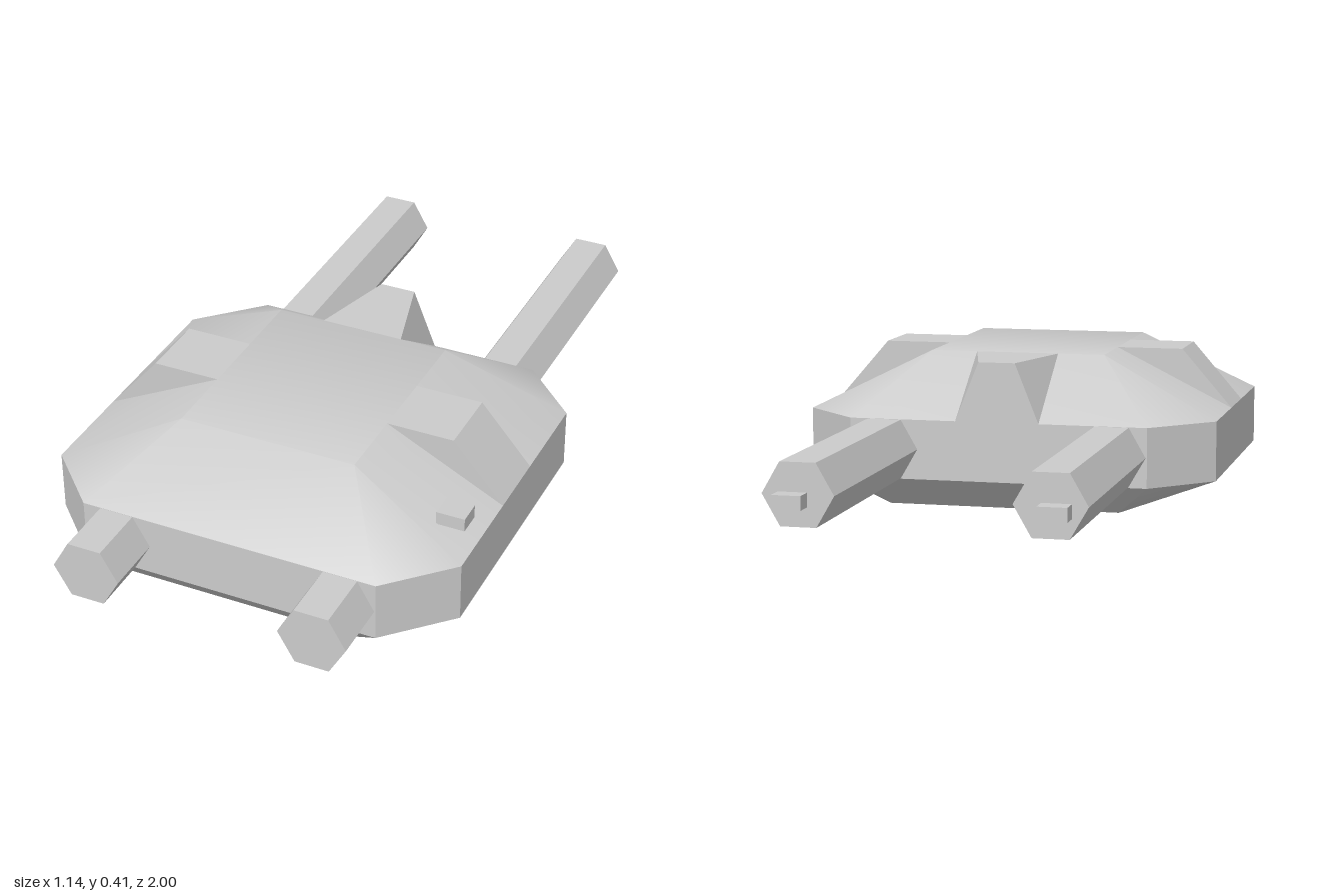
import * as THREE from 'three';
import { toCreasedNormals } from 'three/addons/utils/BufferGeometryUtils.js';
import { ConvexGeometry } from 'three/addons/geometries/ConvexGeometry.js';

const grey = new THREE.MeshStandardMaterial({ color: 0xcccccc });

export function createModel() {
  const group = new THREE.Group();

  const add = (name, geometry, x = 0, y = 0, z = 0) => {
    const mesh = new THREE.Mesh(geometry, grey);
    mesh.name = name;
    mesh.position.set(x, y, z);
    group.add(mesh);
    return mesh;
  };
  // Convex solid from [x, y, z] corners
  const solid = (points, crease) =>
    toCreasedNormals(new ConvexGeometry(points.map((p) => new THREE.Vector3(...p))), crease);
  // Each corner together with its mirror image across x = 0
  const mirrored = (points) => points.flatMap(([x, y, z]) => [[x, y, z], [-x, y, z]]);

  // Hull: small floor, chamfered eight-sided wall, sloping roof
  const wall = (y) => [[0.41, y, 0.835], [0.57, y, 0.675], [0.57, y, -0.06], [0.41, y, -0.22]];
  add('hull', solid(mirrored([
    [0.32, 0, 0.76], [0.32, 0, -0.14],
    ...wall(0.083), ...wall(0.246),
    [0.245, 0.408, 0.6], [0.245, 0.408, 0.02],
  ]), 0.7));

  // Tapered ridge running back from the roof
  add('rearRidge', solid(mirrored([
    [0.115, 0.408, 0.02], [0.115, 0.246, -0.22], [0.05, 0.408, -0.22],
  ]), 0.2));

  for (const s of [1, -1]) {
    const side = s > 0 ? 'left' : 'right';

    // Wedge block on the side slope of the roof
    const block = [0.21, 0.4].flatMap((z) => [
      [0.245 * s, 0.408, z], [0.43 * s, 0.408, z], [0.57 * s, 0.246, z],
    ]);
    add(side + 'SideBlock', solid(block, 0.2));

    // Six-sided beam through the hull, with corners pointing sideways
    const beam = new THREE.CylinderGeometry(0.0925, 0.0925, 1.95, 6);
    beam.rotateY(Math.PI / 2).rotateX(Math.PI / 2);
    add(side + 'Beam', toCreasedNormals(beam, 0.2), 0.314 * s, 0.165, 0.025);

    // Small block on the rear end of the beam
    add(side + 'BeamTip', new THREE.BoxGeometry(0.075, 0.036, 0.06), 0.328 * s, 0.153, -0.97);
  }

  // Single small block on the left shoulder
  add('shoulderBlock', new THREE.BoxGeometry(0.077, 0.036, 0.065), 0.507, 0.312, 0.567);

  return group;
}
